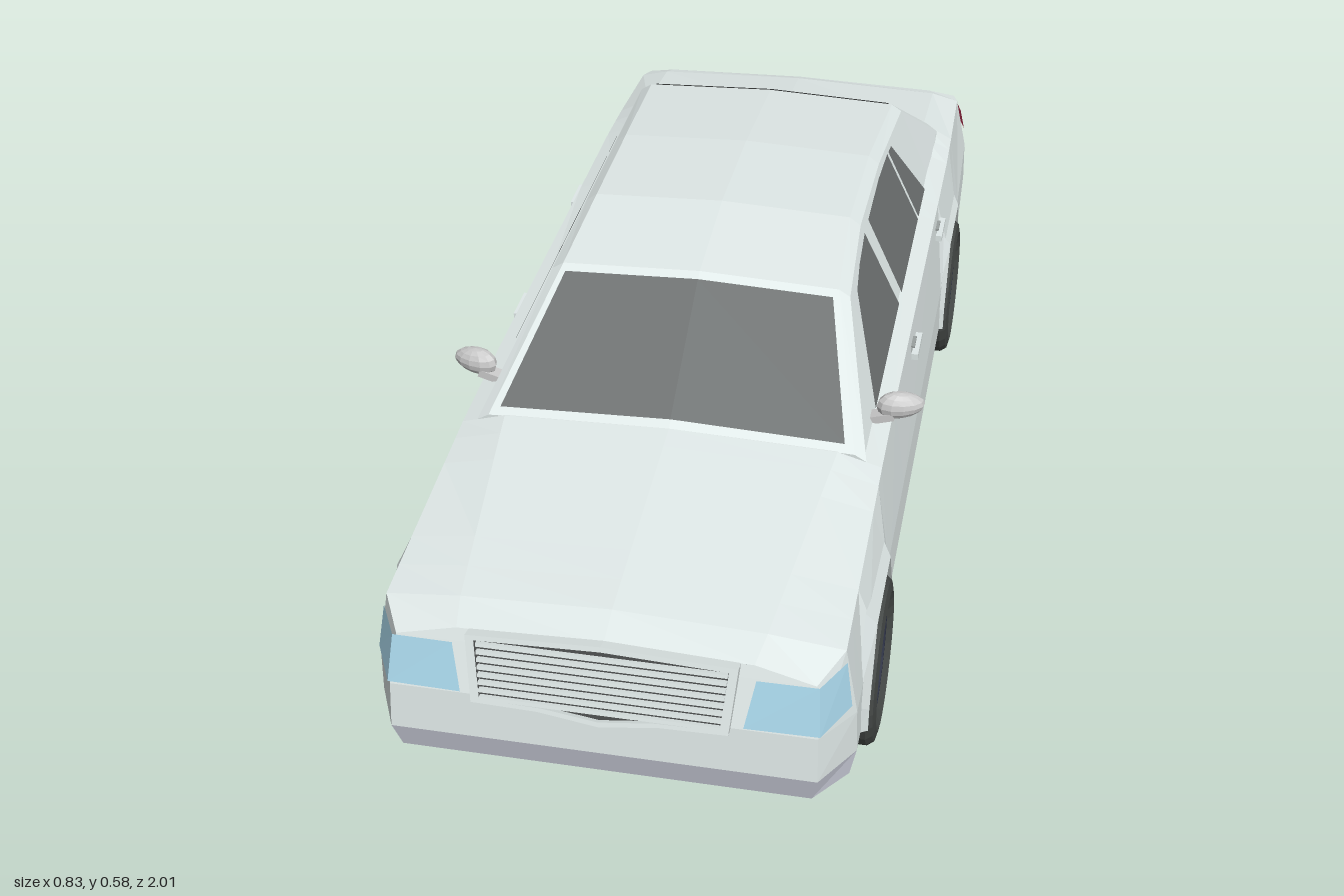
import * as THREE from 'three';

const PAINT = 0xe0e9e8, SILL = 0xd2d5e2, DARK = 0x363636, GLASS = 0x6c7070;
const TYRE = 0x444846, RIM = 0x2b3042, LAMP = 0xa6d3e6, TAIL = 0xcc3a5c;
const lerp = THREE.MathUtils.lerp;

function mat(color, flat = true, side = THREE.FrontSide) {
  return new THREE.MeshStandardMaterial({ color, flatShading: flat, side });
}

function part(parent, name, geo, material, pos = [0, 0, 0]) {
  const m = new THREE.Mesh(geo, material);
  m.name = name;
  m.position.set(...pos);
  parent.add(m);
  return m;
}

const mirror = rows => rows.map(r => r.map(([x, y, z]) => [-x, y, z]).reverse());

// Triangles between neighbouring rows of points
function gridTris(rows, out = []) {
  for (let i = 0; i + 1 < rows.length; i++) {
    for (let j = 0; j + 1 < rows[i].length; j++) {
      const a = rows[i][j], b = rows[i][j + 1], c = rows[i + 1][j + 1], d = rows[i + 1][j];
      out.push(a, d, c, a, c, b);
    }
  }
  return out;
}

function toGeo(tris) {
  const g = new THREE.BufferGeometry();
  g.setAttribute('position', new THREE.Float32BufferAttribute(tris.flat(), 3));
  g.computeVertexNormals();
  return g;
}

// Mirrored loft of half sections running front to back, closed at both ends
function loft(half) {
  const tris = gridTris(mirror(half), gridTris(half));
  const flip = ([x, y, z]) => [-x, y, z];
  [half[0], half[half.length - 1]].forEach((s, end) => {
    for (let j = 0; j + 1 < s.length; j++) {
      const a = flip(s[j]), b = s[j], c = s[j + 1], d = flip(s[j + 1]);
      tris.push(...(end ? [a, c, b, a, d, c] : [a, b, c, a, c, d]));
    }
  });
  return toGeo(tris);
}

// Value row at z in a table sorted from front to back
function sample(table, z) {
  let i = 0;
  while (i < table.length - 2 && table[i + 1][0] > z) i++;
  const t = (table[i][0] - z) / (table[i][0] - table[i + 1][0]);
  return table[i].map((v, k) => lerp(v, table[i + 1][k], t));
}

// z, floor y, half width, shoulder x, shoulder y, deck edge x, deck edge y, deck centre y
const BODY = [
  [1.0, .115, .335, .325, .325, .23, .345, .35],
  [.9, .095, .382, .36, .345, .24, .358, .368],
  [.48, .09, .385, .36, .38, .285, .402, .412],
  [.3, .09, .385, .36, .385, .31, .395, .4],
  [-.6, .09, .385, .362, .38, .31, .4, .4],
  [-.72, .1, .385, .36, .378, .3, .41, .425],
  [-.92, .135, .38, .355, .37, .3, .384, .394],
  [-1.0, .145, .355, .345, .365, .29, .378, .385],
];
const AXLES = [.68, -.515];
// Outline of the end faces: z of each section point
const NOSE = [.985, .985, .985, .985, 1, .992, .965, .958, .963];
const STERN = [-.985, -.985, -.985, -.985, -1, -.995, -.955, -.945, -.947];

function bodySections() {
  const stations = BODY.map(r => [r[0], 0]);
  for (const c of AXLES) {
    for (const [dz, arch] of [[.155, 0], [.155, .16], [.09, .29], [-.09, .29], [-.155, .16], [-.155, 0]])
      stations.push([c + dz, arch]);
  }
  // The table stations inside a wheel opening are dropped
  const kept = stations.filter(([z, a]) => a || !AXLES.some(c => Math.abs(z - c) < .15));
  kept.sort((p, q) => q[0] - p[0]);
  return kept.map(([z, arch]) => {
    const [, yb, w, sx, sy, dx, dy, cy] = sample(BODY, z);
    const ya = Math.max(yb, arch);
    const pts = [[0, yb], [.24, yb], [.24, ya], [w - .01, ya], [w, Math.max(yb + .05, ya + .005)],
      [w - .002, Math.max(yb + .13, ya + .01)], [sx, sy], [dx, dy], [0, cy]];
    const lean = z > .99 ? NOSE : z < -.99 ? STERN : null;
    return pts.map(([x, y], i) => [x, y, lean ? lean[i] : z]);
  });
}

// Cabin: z, side edge y, roof edge y, roof centre y
const CABIN = [
  [.48, .388, .4, .412], [.21, .537, .55, .56], [0, .56, .575, .585],
  [-.25, .555, .57, .58], [-.53, .53, .543, .553], [-.71, .4, .415, .428],
];
const sideX = y => .335 - (y - .385) * .46;

function roofPoint(z, t) {
  const [, ey, ry, cy] = sample(CABIN, z);
  return [(sideX(ey) - .02) * t, lerp(cy, ry, Math.abs(t)) + .004, z];
}

function addCabin(car) {
  part(car, 'cabin', loft(CABIN.map(([z, ey, ry, cy]) =>
    [[.335, .375, z], [sideX(ey), ey, z], [sideX(ey) - .02, ry, z], [0, cy, z]])), mat(PAINT));

  const glass = mat(GLASS, true, THREE.DoubleSide);
  const pane = (z0, z1) => toGeo(gridTris([z0, z1].map(z => [.95, 0, -.95].map(t => roofPoint(z, t)))));
  part(car, 'windshield', pane(.468, .228), glass);
  part(car, 'rearWindow', pane(-.54, -.695), glass);

  // Side windows as z, y outlines
  const outlines = {
    frontWindow: [[.34, .4], [.3, .43], [.17, .528], [.1, .54], [.005, .548], [-.005, .4]],
    rearWindow: [[-.045, .4], [-.045, .548], [-.2, .549], [-.315, .543], [-.325, .4]],
    quarterWindow: [[-.335, .4], [-.328, .541], [-.36, .538], [-.45, .4]],
  };
  for (const [name, outline] of Object.entries(outlines)) {
    for (const s of [1, -1]) {
      const p = outline.map(([z, y]) => [s * (sideX(y) + .003), y, z]);
      const tris = [];
      for (let i = 1; i + 1 < p.length; i++)
        tris.push(p[0], ...(s > 0 ? [p[i + 1], p[i]] : [p[i], p[i + 1]]));
      part(car, (s > 0 ? 'left ' : 'right ') + name, toGeo(tris), glass);
    }
  }
}

function makeWheel() {
  const wheel = new THREE.Group();
  const lathe = (pts, n) => new THREE.LatheGeometry(pts.map(p => new THREE.Vector2(...p)), n).rotateZ(-Math.PI / 2);
  // Tyre with three shallow tread grooves
  const tread = [-.035, 0, .035].flatMap(g => [[.14, g - .005], [.135, g - .003], [.135, g + .003], [.14, g + .005]]);
  part(wheel, 'tyre', lathe([[.103, -.06], [.115, -.07], [.132, -.066], [.14, -.055], ...tread,
    [.14, .055], [.132, .066], [.115, .07], [.103, .06], [.1, 0], [.103, -.06]], 28), mat(TYRE));
  part(wheel, 'rim', lathe([[.104, -.055], [.094, -.05], [.09, .035], [.104, .06], [.096, .06],
    [.088, .05], [.03, .046], [0, .046]], 28), mat(RIM, true, THREE.DoubleSide));
  for (let i = 0; i < 10; i++) {
    const spoke = part(wheel, 'spoke', new THREE.BoxGeometry(.006, .07, .01).translate(0, .055, 0), mat(RIM), [.05, 0, 0]);
    spoke.rotation.x = i * Math.PI / 5;
  }
  part(wheel, 'hub', lathe([[.017, .04], [.017, .054], [0, .056]], 12), mat(0x6a6e78));
  return wheel;
}

function addWheels(car) {
  for (const c of AXLES) {
    for (const s of [1, -1]) {
      const wheel = makeWheel();
      wheel.name = (s > 0 ? 'left ' : 'right ') + (c > 0 ? 'frontWheel' : 'rearWheel');
      wheel.position.set(s * .33, .14, c);
      if (s < 0) wheel.rotation.y = Math.PI;
      car.add(wheel);

      // Angular flare around the wheel opening
      const ring = (pts, x) => pts.map(([z, y]) => [s * x, y, c + z]);
      const outer = [[.19, .15], [.185, .2], [.1, .318], [-.1, .318], [-.185, .2], [-.19, .15]];
      const inner = [[.158, .13], [.153, .17], [.085, .288], [-.085, .288], [-.153, .17], [-.158, .13]];
      part(car, 'wheelFlare', toGeo(gridTris([ring(outer, .374), ring(inner, .392), ring(inner, .36)])),
        mat(PAINT, true, THREE.DoubleSide));
    }
  }
}

function addLamps(car) {
  const head = [
    [[.22, .25, .995], [.336, .25, .993], [.374, .252, .918]],
    [[.235, .325, .97], [.33, .325, .969], [.363, .328, .908]],
  ];
  const tail = [
    [[.235, .3, -.989], [.355, .3, -.988], [.373, .302, -.93]],
    [[.24, .345, -.969], [.351, .345, -.968], [.364, .345, -.925]],
  ];
  for (const [name, rows, color] of [['headlight', head, LAMP], ['tailLight', tail, TAIL]]) {
    for (const r of [rows, mirror(rows)])
      part(car, name, toGeo(gridTris(r)), mat(color, true, THREE.DoubleSide));
  }
}

function addGrille(car) {
  const grille = new THREE.Group();
  grille.name = 'grille';
  grille.position.set(0, .288, .975);
  grille.rotation.x = -.25;
  const outline = (k, Type) => new Type([[-.2, .055], [0, .062], [.2, .055], [.19, -.045], [.09, -.047], [0, -.058],
    [-.09, -.047], [-.19, -.045]].map(([x, y]) => new THREE.Vector2(x * k, y * (k > 1 ? 1.12 : k))));
  const frame = outline(1.05, THREE.Shape);
  frame.holes.push(outline(.98, THREE.Path));
  part(grille, 'grilleFrame', new THREE.ExtrudeGeometry(frame, { depth: .022, bevelEnabled: false }), mat(PAINT));
  part(grille, 'grilleBack', new THREE.ExtrudeGeometry(outline(1, THREE.Shape), { depth: .012, bevelEnabled: false }), mat(0x4a4c4c));
  for (let i = 0; i < 8; i++)
    part(grille, 'slat', new THREE.BoxGeometry(.374 + i * .002, .006, .012), mat(PAINT), [0, -.043 + i * .0127, .014]);
  car.add(grille);
}

function addSideFittings(car) {
  for (const s of [1, -1]) {
    for (const z of [.055, -.38]) {
      part(car, 'doorHandle', new THREE.BoxGeometry(.012, .012, .075), mat(PAINT), [s * .373, .35, z]);
      part(car, 'handleRecess', new THREE.BoxGeometry(.008, .026, .035), mat(0x9aa09f), [s * .3665, .347, z]);
    }
    // Door mirror: tapered pod on a short arm
    const pod = new THREE.SphereGeometry(1, 12, 8).scale(.042, .024, .022);
    const p = pod.attributes.position;
    for (let i = 0; i < p.count; i++) p.setY(i, p.getY(i) * (1 - p.getX(i) * s * 5));
    const m = part(car, 'doorMirror', pod, mat(0xcccccc), [s * .374, .417, .345]);
    m.rotation.y = s * .3;
    const arm = part(car, 'mirrorArm', new THREE.BoxGeometry(.06, .014, .025), mat(0xcccccc), [s * .335, .395, .355]);
    arm.rotation.z = s * .3;
  }
}

export function createModel() {
  const car = new THREE.Group();
  car.name = 'sedan';
  const sections = bodySections();
  const rows = (a, b) => loft(sections.map(s => s.slice(a, b + 1)));
  part(car, 'floor', rows(0, 3), mat(DARK, true, THREE.DoubleSide));
  part(car, 'sill', rows(3, 4), mat(SILL));
  part(car, 'body', rows(4, 8), mat(PAINT));
  addCabin(car);
  addWheels(car);
  addLamps(car);
  addGrille(car);
  addSideFittings(car);
  return car;
}
